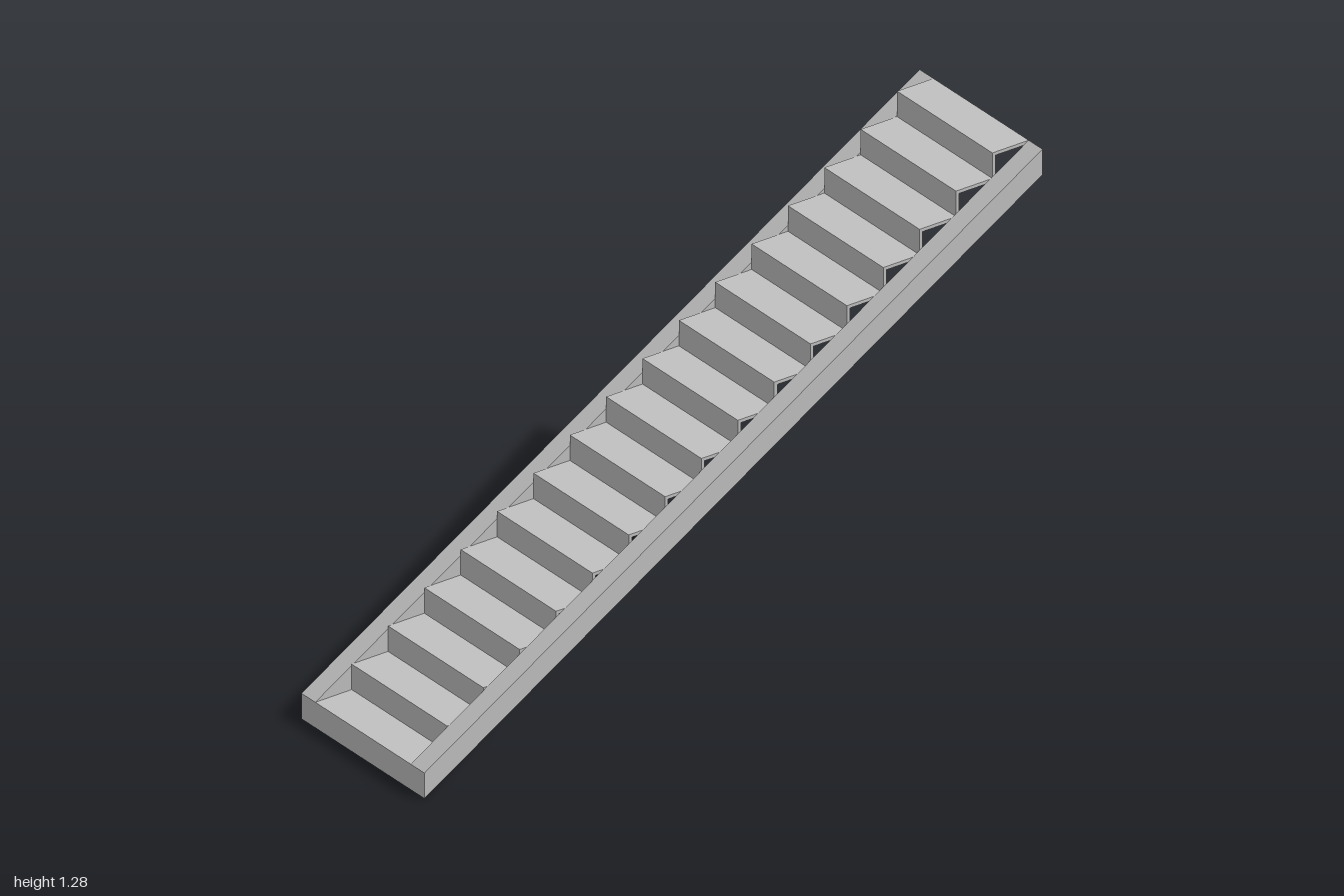
import * as THREE from 'three';

const STEPS = 17;
const RUN = 2 / STEPS;
const RISE = 1.285 / STEPS;
const THICK = 0.01;        // sheet thickness of treads and risers
const INNER = 0.21;        // half width between the stringers
const OUTER = 0.271;       // half width overall
const DEPTH = 0.0756;      // vertical depth of a stringer

export function createModel() {
  const group = new THREE.Group();
  group.name = 'staircase';
  const grey = new THREE.MeshStandardMaterial({ color: 0xc0c0c0 });
  grey.name = 'grey';

  // Box given by its x and y limits, spanning the width between the stringers
  function plate(name, x0, x1, y0, y1) {
    const mesh = new THREE.Mesh(new THREE.BoxGeometry(x1 - x0, y1 - y0, INNER * 2), grey);
    mesh.position.set((x0 + x1) / 2, (y0 + y1) / 2, 0);
    mesh.name = name;
    group.add(mesh);
  }

  // Sloping side beams with plumb-cut ends
  const top = STEPS * RISE;
  const profile = new THREE.Shape([
    new THREE.Vector2(-1, 0),
    new THREE.Vector2(1, top - DEPTH),
    new THREE.Vector2(1, top),
    new THREE.Vector2(-1, DEPTH),
  ]);
  const beam = new THREE.ExtrudeGeometry(profile, { depth: OUTER - INNER, bevelEnabled: false });
  for (const [name, z] of [['frontStringer', INNER], ['backStringer', -OUTER]]) {
    const mesh = new THREE.Mesh(beam, grey);
    mesh.position.z = z;
    mesh.name = name;
    group.add(mesh);
  }

  // Each step: a riser reaching down behind the tread below, and a tread on top
  for (let k = 0; k < STEPS; k++) {
    const x = -1 + k * RUN;
    const y = (k + 1) * RISE;
    plate('riser' + (k + 1), x, x + THICK, k ? y - RISE - THICK : 0, y);
    plate('tread' + (k + 1), x + THICK, x + RUN, y - THICK, y);
  }
  return group;
}
